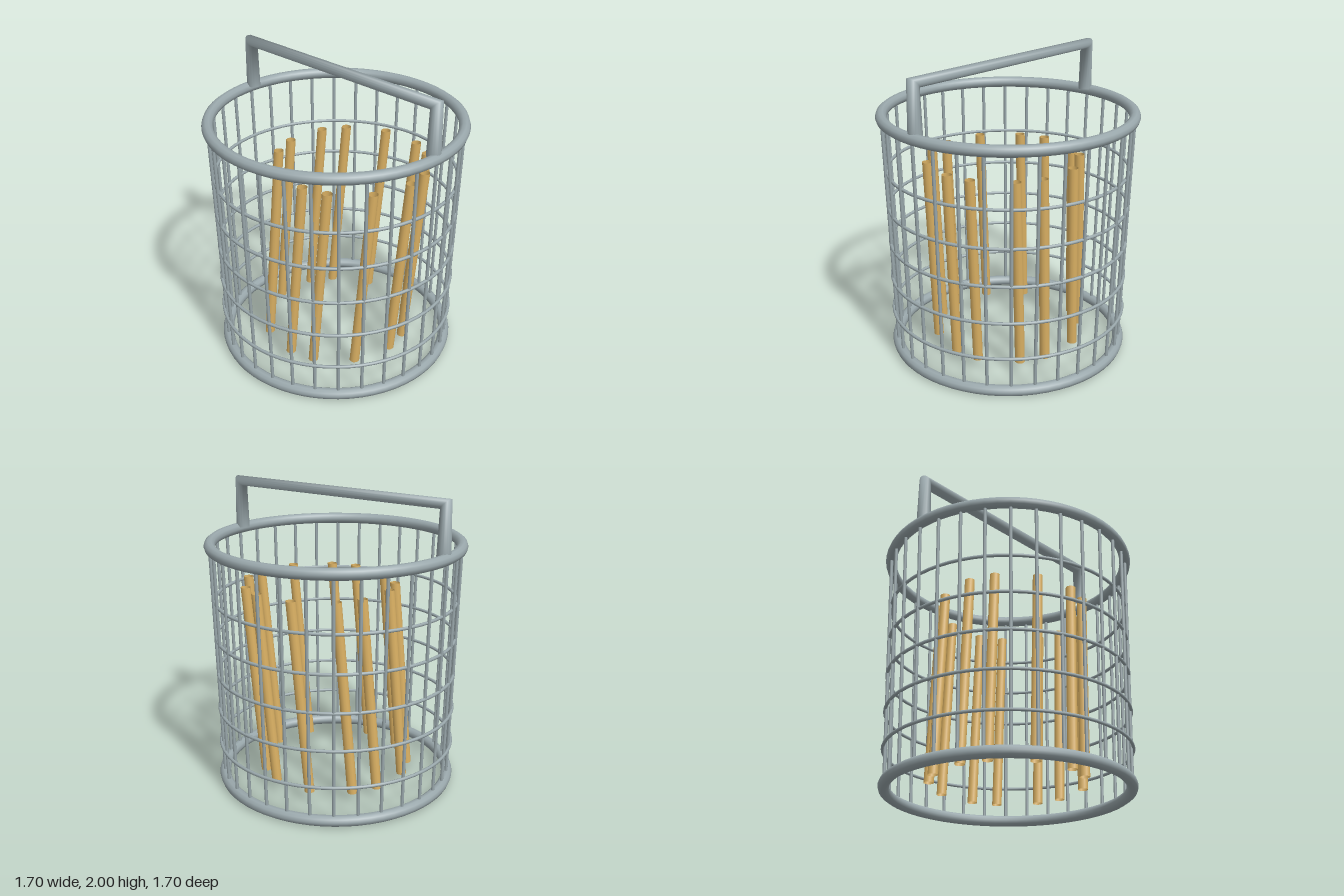
import * as THREE from 'three';

export function createModel() {
  const model = new THREE.Group();
  const metal = new THREE.MeshStandardMaterial({ name: 'greyMetal', color: 0x9aa8ac });
  const wood = new THREE.MeshStandardMaterial({ name: 'paleWood', color: 0xdcb264, side: THREE.DoubleSide });
  const metalOpen = metal; // handle ends sit on the rim

  const add = (name, geometry, material, parent = model) => {
    const mesh = new THREE.Mesh(geometry, material);
    mesh.name = name;
    parent.add(mesh);
    return mesh;
  };
  const addGroup = (name) => {
    const group = new THREE.Group();
    group.name = name;
    model.add(group);
    return group;
  };
  const hoop = (name, radius, tube, sides, y, parent) => {
    const geometry = new THREE.TorusGeometry(radius, tube, sides, 64).rotateX(Math.PI / 2);
    add(name, geometry, metal, parent).position.y = y;
  };

  // Leaning cylinder whose ends stay level, from a to b
  const leaning = (a, b, radius, sides, open) => {
    const h = b.y - a.y;
    const shear = new THREE.Matrix4().set(
      1, (b.x - a.x) / h, 0, (a.x + b.x) / 2,
      0, 1, 0, (a.y + b.y) / 2,
      0, (b.z - a.z) / h, 1, (a.z + b.z) / 2,
      0, 0, 0, 1);
    return new THREE.CylinderGeometry(radius, radius, h, sides, 1, open).applyMatrix4(shear);
  };

  // Rims and the thin hoops between them
  hoop('bottomRim', 0.775, 0.037, 10, 0.037, model);
  hoop('topRim', 0.815, 0.037, 10, 1.637, model);
  const hoops = addGroup('hoops');
  for (let i = 0; i < 5; i++) hoop('hoop', 0.795, 0.011, 8, 0.276 + i * 0.249, hoops);

  // Upright wires, flaring slightly towards the top
  const wires = addGroup('wires');
  for (let i = 0; i < 32; i++) {
    const a = (i / 32) * Math.PI * 2;
    const at = (r, y) => new THREE.Vector3(r * Math.cos(a), y, r * Math.sin(a));
    add('wire', leaning(at(0.775, 0.037), at(0.815, 1.637), 0.011, 8, true), metal, wires);
  }

  // Carrying handle: one pipe with mitred corners, a ring of points at each path stop
  const d = Math.SQRT1_2;
  const stops = [ // centre x, y and in-plane section direction x, y
    [-0.788, 1.65, 1, 0], [-0.79, 1.968, d, -d],
    [0.79, 1.968, -d, -d], [0.788, 1.65, -1, 0],
  ];
  const pipe = new THREE.CylinderGeometry(0.046, 0.046, 3, 16, 3, true);
  const pos = pipe.attributes.position;
  for (let i = 0; i < pos.count; i++) {
    const [cx, cy, nx, ny] = stops[Math.round(pos.getY(i) + 1.5)];
    const s = pos.getX(i);
    pos.setXY(i, cx + s * nx, cy + s * ny);
    pipe.attributes.normal.setXY(i, (s / 0.046) * nx, (s / 0.046) * ny);
  }
  add('handle', pipe, metalOpen);

  // Loose ring of leaning hollow rods, placed by the centres of their tops
  const rods = addGroup('rods');
  const tops = [
    [-0.03, -0.53], [0.245, -0.525], [0.4, -0.445], [0.565, -0.22], [0.595, -0.05],
    [0.517, 0.215], [0.31, 0.4], [0.14, 0.445], [-0.13, 0.393], [-0.333, 0.2],
    [-0.395, 0.03], [-0.365, -0.24], [-0.27, -0.385],
  ];
  for (const [x, z] of tops) {
    const foot = new THREE.Vector3(x - 0.094, 0.08, z + 0.046);
    add('rod', leaning(foot, new THREE.Vector3(x, 1.373, z), 0.033, 12, true), wood, rods);
  }

  return model;
}
